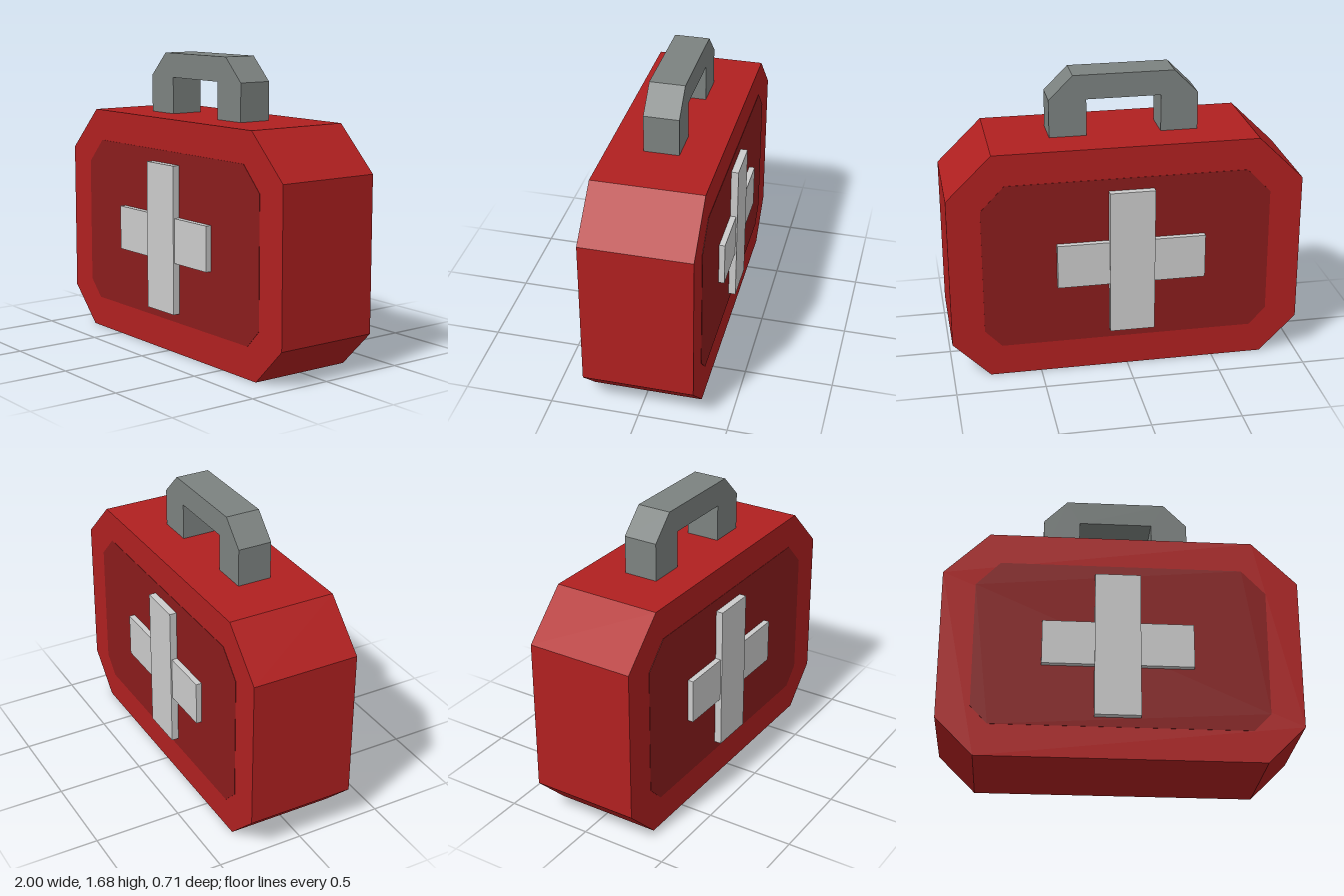
import * as THREE from 'three';

const material = (color) => new THREE.MeshStandardMaterial({ color, flatShading: true });

// Extrude an outline in the xy plane between two depths
function slab(name, points, zBack, zFront, mat) {
  const shape = new THREE.Shape(points.map(([x, y]) => new THREE.Vector2(x, y)));
  const geometry = new THREE.ExtrudeGeometry(shape, { depth: zFront - zBack, bevelEnabled: false });
  geometry.translate(0, 0, zBack);
  const mesh = new THREE.Mesh(geometry, mat);
  mesh.name = name;
  return mesh;
}

function bar(name, x0, x1, y0, y1, z0, z1, mat) {
  const mesh = new THREE.Mesh(new THREE.BoxGeometry(x1 - x0, y1 - y0, z1 - z0), mat);
  mesh.position.set((x0 + x1) / 2, (y0 + y1) / 2, (z0 + z1) / 2);
  mesh.name = name;
  return mesh;
}

export function createModel() {
  const model = new THREE.Group();
  model.name = 'firstAidCase';
  const red = material(0xb02020);
  const darkRed = material(0x8a1c1c);
  const handleGrey = material(0x7c8280);
  const crossGrey = material(0xcccccc);
  const half = 0.31;

  // Case with chamfered corners
  model.add(slab('caseBody', [
    [-0.79, 0], [0.79, 0], [1, 0.21], [1, 1.08],
    [0.745, 1.33], [-0.745, 1.33], [-1, 1.08], [-1, 0.21],
  ], -half, half, red));

  // Angular carrying handle, slightly off centre
  model.add(slab('handle', [
    [-0.44, 1.33], [-0.23, 1.33], [-0.23, 1.54], [0.19, 1.54], [0.19, 1.33], [0.4, 1.33],
    [0.4, 1.545], [0.265, 1.68], [-0.305, 1.68], [-0.44, 1.545],
  ], -0.087, 0.11, handleGrey));

  // Darker panel and raised cross on the front and the back
  const panel = [
    [-0.72, 0.18], [0.72, 0.18], [0.815, 0.28], [0.815, 1.01],
    [0.68, 1.15], [-0.68, 1.15], [-0.815, 1.01], [-0.815, 0.28],
  ];
  for (const [side, sign] of [['front', 1], ['back', -1]]) {
    const range = (depth) => [sign * (half - 0.01), sign * depth].sort((a, b) => a - b);
    model.add(slab(side + 'Panel', panel, ...range(half + 0.002), darkRed));
    const cross = new THREE.Group();
    cross.name = side + 'Cross';
    cross.add(bar('uprightBar', -0.15, 0.105, 0.235, 1.08, ...range(0.353), crossGrey));
    cross.add(bar('crossBar', -0.44, 0.4, 0.53, 0.785, ...range(0.345), crossGrey));
    model.add(cross);
  }
  return model;
}
